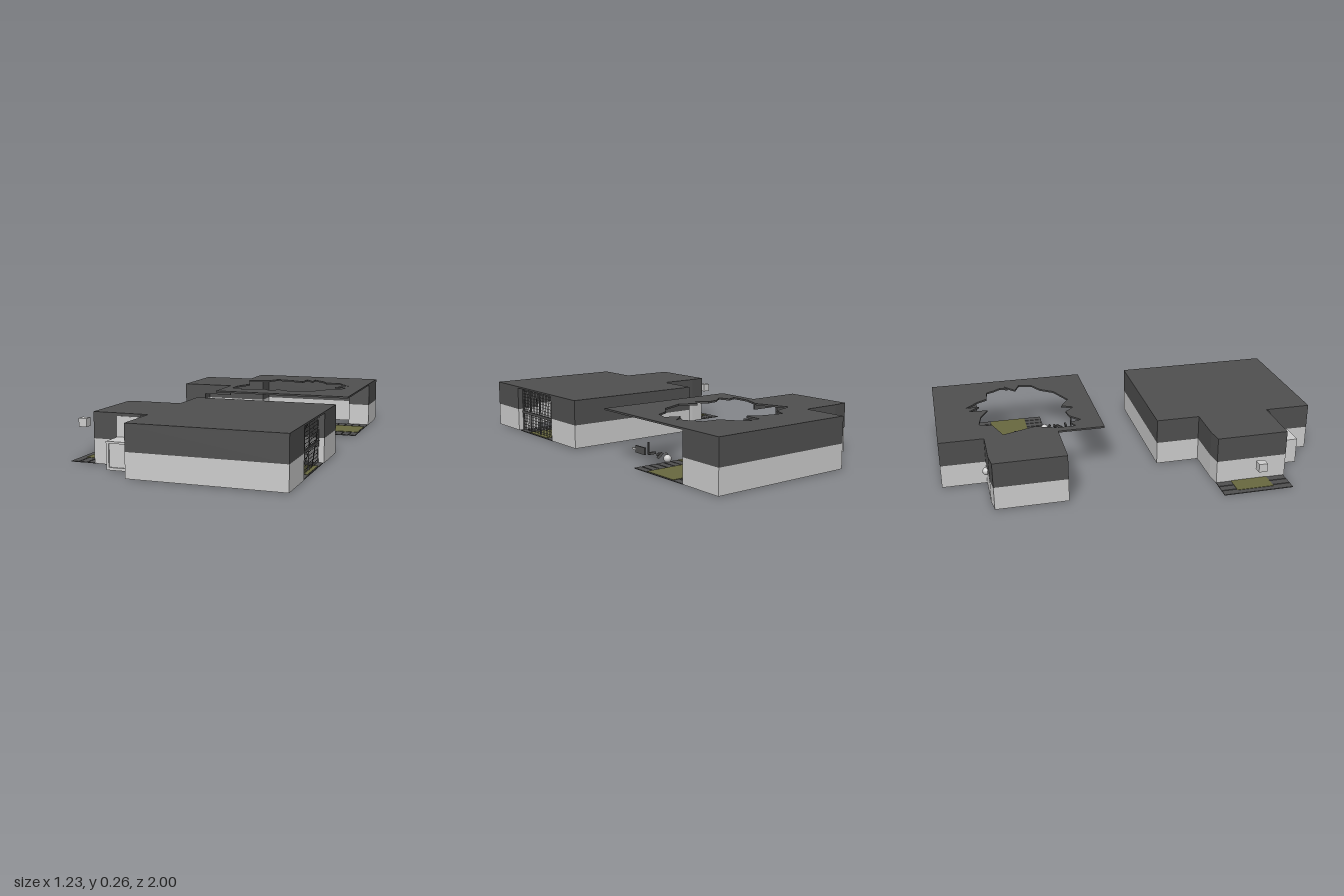
import * as THREE from 'three';

const mat = (color) => new THREE.MeshStandardMaterial({ color, side: THREE.DoubleSide });

export function createModel() {
  const root = new THREE.Group();
  const grey = mat(0xcccccc), dark = mat(0x4f4f4f), olive = mat(0x68683f);

  const group = (name) => {
    const g = new THREE.Group();
    g.name = name;
    root.add(g);
    return g;
  };
  const add = (parent, name, geo, m) => {
    const mesh = new THREE.Mesh(geo, m);
    mesh.name = name;
    parent.add(mesh);
    return mesh;
  };
  // Box given by its lower and upper limits on each axis
  const box = (parent, name, x0, x1, y0, y1, z0, z1, m) => {
    const mesh = add(parent, name, new THREE.BoxGeometry(x1 - x0, y1 - y0, z1 - z0), m);
    mesh.position.set((x0 + x1) / 2, (y0 + y1) / 2, (z0 + z1) / 2);
    return mesh;
  };
  // Plan outline (x, z) raised from y0 to y1
  const plan = (parent, name, pts, y0, y1, m, hole) => {
    const flat = (list) => list.map(([x, z]) => new THREE.Vector2(x, -z));
    const shape = new THREE.Shape(flat(pts));
    if (hole) shape.holes.push(new THREE.Path(flat(hole)));
    const geo = new THREE.ExtrudeGeometry(shape, { depth: y1 - y0, bevelEnabled: false });
    geo.rotateX(-Math.PI / 2);
    geo.translate(0, y0, 0);
    return add(parent, name, geo, m);
  };
  const twoToneWalls = (parent, pts) => {
    plan(parent, 'lowerWalls', pts, 0.003, 0.125, grey);
    plan(parent, 'upperWalls', pts, 0.125, 0.246, dark);
  };
  // Row of planks with narrow gaps, running across the corridor
  const planks = (parent, x0, x1, z0, z1) => {
    const n = Math.round((x1 - x0) / 0.045), step = (x1 - x0) / n;
    for (let i = 0; i < n; i++) {
      box(parent, 'floorPlank', x0 + i * step, x0 + (i + 1) * step - 0.005, 0, 0.004, z0, z1, dark);
    }
  };

  // Intact building: thick walls around a room with a through corridor
  const front = group('intactBuilding');
  twoToneWalls(front, [
    [0.61, 0.385], [0.61, 0.14], [-0.145, 0.14], [-0.145, 0.37], [-0.35, 0.37], [-0.43, 0.38],
    [-0.43, 0.755], [-0.145, 0.755], [-0.145, 1], [0.61, 1], [0.61, 0.76], [0.49, 0.76],
    [0.49, 0.88], [-0.04, 0.88], [-0.04, 0.745], [-0.42, 0.745], [-0.42, 0.385], [-0.04, 0.385],
    [-0.04, 0.26], [0.49, 0.26], [0.49, 0.385],
  ]);
  plan(front, 'roof', [
    [0.61, 0.14], [-0.145, 0.14], [-0.145, 0.37], [-0.35, 0.37], [-0.43, 0.38],
    [-0.43, 0.755], [-0.145, 0.755], [-0.145, 1], [0.61, 1],
  ], 0.246, 0.255, dark);
  planks(front, -0.56, 0.61, 0.38, 0.75);
  box(front, 'floorMat', -0.53, 0.6, -0.0005, 0.006, 0.46, 0.655, olive);

  // Wire fence in the end opening
  const fence = new THREE.Group();
  fence.name = 'wireFence';
  front.add(fence);
  const fx = 0.58;
  for (let z = 0.395; z < 0.755; z += 0.0175) {
    box(fence, 'verticalWire', fx - 0.001, fx + 0.001, 0.005, 0.245, z - 0.001, z + 0.001, dark);
  }
  for (let y = 0.02; y < 0.245; y += 0.0175) {
    box(fence, 'horizontalWire', fx - 0.001, fx + 0.001, y - 0.001, y + 0.001, 0.385, 0.76, dark);
  }
  box(fence, 'fenceRail', fx - 0.005, fx + 0.005, 0.1, 0.115, 0.385, 0.76, dark);
  for (const z of [0.388, 0.565, 0.67, 0.757]) {
    box(fence, 'fencePost', fx - 0.003, fx + 0.003, 0, 0.246, z - 0.003, z + 0.003, dark);
  }

  // Entrance: tall pale panel with a framed cabinet in front of it
  const entrance = group('entrance');
  box(entrance, 'doorPanel', -0.305, -0.18, 0.005, 0.24, 0.745, 0.758, grey);
  box(entrance, 'cabinet', -0.305, -0.18, 0.004, 0.14, 0.757, 0.865, grey);
  const rim = new THREE.Shape([
    [-0.305, 0.004], [-0.18, 0.004], [-0.18, 0.14], [-0.305, 0.14],
  ].map(([x, y]) => new THREE.Vector2(x, y)));
  rim.holes.push(new THREE.Path([
    [-0.292, 0.017], [-0.292, 0.13], [-0.19, 0.13], [-0.19, 0.017],
  ].map(([x, y]) => new THREE.Vector2(x, y))));
  add(entrance, 'cabinetFrame', new THREE.ExtrudeGeometry(rim, { depth: 0.008, bevelEnabled: false }), grey)
    .position.z = 0.865;
  box(entrance, 'doorSide', -0.18, -0.145, 0.003, 0.125, 0.755, 0.765, grey);
  box(entrance, 'doorSideTop', -0.18, -0.145, 0.125, 0.25, 0.755, 0.765, dark);

  box(root, 'floatingCube', -0.615, -0.571, 0.141, 0.185, 0.532, 0.576, grey);

  // Ruined building: near walls are gone and the roof is blown open
  const back = group('ruinedBuilding');
  twoToneWalls(back, [
    [0.61, -0.76], [0.61, -1], [-0.145, -1], [-0.145, -0.77], [-0.35, -0.77], [-0.43, -0.76],
    [-0.43, -0.39], [-0.305, -0.39], [-0.305, -0.4], [-0.42, -0.4], [-0.42, -0.76],
    [-0.06, -0.76], [-0.06, -0.89], [0.49, -0.89], [0.49, -0.76],
  ]);
  box(back, 'doorHeader', -0.305, -0.145, 0.2, 0.246, -0.4, -0.39, dark);
  plan(back, 'brokenRoof', [
    [0.61, -1], [-0.145, -1], [-0.145, -0.77], [-0.35, -0.77], [-0.43, -0.76],
    [-0.43, -0.39], [-0.145, -0.39], [-0.145, -0.145], [0.61, -0.145],
  ], 0.246, 0.255, dark, [
    [-0.12, -0.67], [0, -0.71], [0.03, -0.78], [0.13, -0.76], [0.205, -0.72], [0.21, -0.82],
    [0.26, -0.76], [0.26, -0.83], [0.33, -0.76], [0.36, -0.71], [0.45, -0.7], [0.47, -0.66],
    [0.5, -0.62], [0.48, -0.58], [0.52, -0.6], [0.45, -0.54], [0.52, -0.51], [0.5, -0.44],
    [0.43, -0.4], [0.38, -0.33], [0.25, -0.27], [0.17, -0.32], [0.14, -0.26], [0.09, -0.31],
    [0.03, -0.3], [-0.03, -0.25], [-0.05, -0.31], [-0.1, -0.29], [-0.1, -0.39], [-0.06, -0.5],
  ]);
  planks(back, 0.225, 0.61, -0.76, -0.385);
  box(back, 'floorMat', 0.225, 0.6, -0.0005, 0.006, -0.68, -0.48, olive);
  for (const [x, z0, z1] of [[0.23, -0.76, -0.68], [0.3, -0.76, -0.68], [0.29, -0.48, -0.39]]) {
    box(back, 'floorMatScrap', x, x + 0.06, 0, 0.006, z0, z1, olive);
  }

  // Small round lamps
  for (const [x, y, z] of [[-0.22, 0.11, -0.775], [-0.41, 0.11, -0.44], [0.41, 0.02, -0.385]]) {
    add(back, 'roundLamp', new THREE.SphereGeometry(0.02, 12, 8), grey).position.set(x, y, z);
  }

  // Loose debris
  const debris = group('debris');
  box(debris, 'fallenPanel', 0.406, 0.414, 0.003, 0.04, -0.2, -0.12, dark);
  box(debris, 'panelHandle', 0.407, 0.413, 0.015, 0.025, -0.12, -0.09, grey);
  box(debris, 'uprightStick', 0.407, 0.413, 0.01, 0.075, -0.232, -0.225, dark);
  [[0.41, -0.26], [0.4, -0.3], [0.41, -0.325], [0.4, -0.36], [0.3, -0.56], [0.34, -0.52], [0.36, -0.57]]
    .forEach(([x, z], i) => {
      const bit = box(debris, 'rubblePiece', x - 0.018, x + 0.018, 0.018, 0.03, z - 0.005, z + 0.005, dark);
      bit.rotation.y = i * 1.3;
      bit.rotation.z = i * 0.4;
    });

  return root;
}
